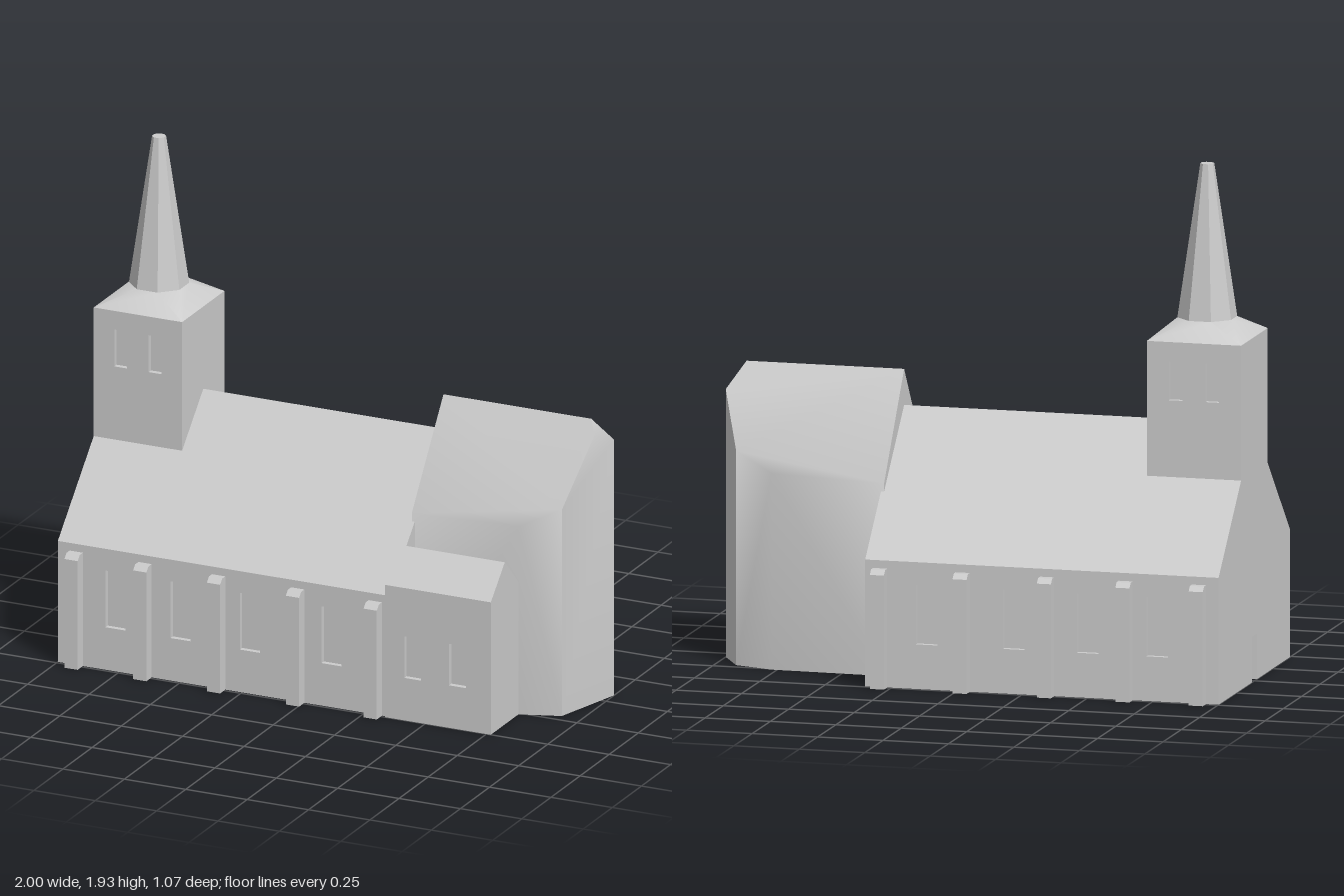
import * as THREE from 'three';
import { toCreasedNormals } from 'three/addons/utils/BufferGeometryUtils.js';
import { ConvexGeometry } from 'three/addons/geometries/ConvexGeometry.js';

const RECESS = 0.02; // depth of window and door niches

const stone = new THREE.MeshStandardMaterial({ color: 0xcccccc });
stone.name = 'stone';

// Rectangle as a list of corners
const rect = (x0, x1, y0, y1) => [[x0, y0], [x1, y0], [x1, y1], [x0, y1]];
const toVectors = (pts) => pts.map(([a, b]) => new THREE.Vector2(a, b));

// Outline in x/y with rectangular holes, extruded from z0 to z1
function extrudeZ(outline, z0, z1, holes = []) {
  const shape = new THREE.Shape(toVectors(outline));
  shape.holes = holes.map((h) => new THREE.Path(toVectors(h)));
  const geo = new THREE.ExtrudeGeometry(shape, { depth: z1 - z0, bevelEnabled: false });
  return geo.translate(0, 0, z0);
}

// Outline in z/y, extruded from x0 to x1
function extrudeX(outline, x0, x1, holes = []) {
  const flip = (pts) => pts.map(([z, y]) => [-z, y]);
  return extrudeZ(flip(outline), x0, x1, holes.map(flip)).rotateY(Math.PI / 2);
}

export function createModel() {
  const model = new THREE.Group();
  model.name = 'church';
  const add = (name, geometry) => {
    const mesh = new THREE.Mesh(geometry, stone);
    mesh.name = name;
    model.add(mesh);
    return mesh;
  };

  const W = 0.49, EAVE = 0.475, RIDGE = 0.965, EAST = 0.35;
  const T = 0.182, TOP = 1.288, TX0 = -1, TX1 = -0.64;
  const inner = W - RECESS;
  const westInner = -1 + RECESS;
  const roofAtTower = RIDGE - T;

  // Nave body and roof
  add('nave', extrudeX([
    [-inner, 0], [inner, 0], [inner, EAVE], [W, EAVE],
    [0, RIDGE], [-W, EAVE], [-inner, EAVE],
  ], westInner, EAST));

  // Nave side walls and tower side walls with window niches
  const naveWindows = [-0.765, -0.5, -0.218, 0.115].map((x) => rect(x - 0.041, x + 0.041, 0.167, 0.39));
  const towerOffsets = [-0.07, 0.07];
  const towerX = (TX0 + TX1) / 2;
  const belfryWindows = (c) => towerOffsets.map((o) => rect(c + o - 0.026, c + o + 0.026, 1.07, 1.215));
  for (const side of [1, -1]) {
    const name = side > 0 ? 'front' : 'back';
    const span = (face) => (side > 0 ? [face - RECESS, face] : [-face, -face + RECESS]);
    add(name + 'NaveWall', extrudeZ(rect(westInner, EAST, 0, EAVE), ...span(W), naveWindows));
    add(name + 'TowerWall', extrudeZ(rect(westInner, TX1, 0.7, TOP), ...span(T), belfryWindows(towerX)));
  }

  // West wall: gable and tower face in one, with a door niche
  add('westWall', extrudeX([
    [-W, 0], [-0.035, 0], [-0.035, 0.17], [0.035, 0.17], [0.035, 0], [W, 0],
    [W, EAVE], [T, roofAtTower], [T, TOP], [-T, TOP], [-T, roofAtTower], [-W, EAVE],
  ], -1, westInner, belfryWindows(0)));

  // Tower core behind the niches
  add('tower', extrudeZ(rect(westInner, TX1, 0.6, TOP), -T + RECESS, T - RECESS));

  // Spire skirt, square below and octagonal above
  const SPIRE_Y = 1.355, SPIRE_R = 0.111;
  const skirt = [];
  for (const x of [TX0, TX1]) for (const z of [-T, T]) skirt.push(new THREE.Vector3(x, TOP, z));
  for (let i = 0; i < 8; i++) {
    const a = Math.PI / 8 + (i * Math.PI) / 4;
    skirt.push(new THREE.Vector3(towerX + SPIRE_R * Math.sin(a), SPIRE_Y, SPIRE_R * Math.cos(a)));
  }
  add('spireSkirt', toCreasedNormals(new ConvexGeometry(skirt), 0.7));

  // Octagonal spire
  const spireHeight = 1.93 - SPIRE_Y;
  const spire = new THREE.CylinderGeometry(0.026, SPIRE_R, spireHeight, 8);
  spire.rotateY(Math.PI / 8).translate(towerX, SPIRE_Y + spireHeight / 2, 0);
  add('spire', toCreasedNormals(spire, 0.5));

  // Choir with angled apse: wall tops follow the roof slope
  const slope = (z) => 1.1 - 1.38 * Math.abs(z);
  const plan = [
    [0.338, -0.275], [0.77, -0.265], [0.92, -0.215], [1, -0.07],
    [0.92, 0.21], [0.77, 0.262], [0.338, 0.272],
  ];
  const choir = [[0.338, 0], [0.94, 0], [0.97, 0.035]].map(([x, z]) => new THREE.Vector3(x, slope(z), z));
  for (const [x, z] of plan) {
    choir.push(new THREE.Vector3(x, 0, z), new THREE.Vector3(x, slope(z), z));
  }
  add('choir', toCreasedNormals(new ConvexGeometry(choir), 0.7));

  // Side annex with its own small gable roof
  const AX0 = 0.338, AX1 = 0.768, AZ = 0.5;
  add('annex', extrudeX([
    [0.24, 0], [AZ - RECESS, 0], [AZ - RECESS, 0.52], [AZ, 0.52], [0.38, 0.637], [0.24, 0.497],
  ], AX0, AX1));
  const annexWindows = [0.45, 0.632].map((x) => rect(x - 0.034, x + 0.034, 0.167, 0.33));
  add('annexWall', extrudeZ(rect(AX0, AX1, 0, 0.52), AZ - RECESS, AZ, annexWindows));

  // Buttresses with sloping caps along both sides
  for (const side of [1, -1]) {
    const profile = [[0.48, 0], [0.535, 0], [0.535, 0.427], [0.517, 0.445], [0.48, 0.445]]
      .map(([z, y]) => [z * side, y]);
    for (const x of [-0.925, -0.645, -0.345, -0.023, 0.293]) {
      add('buttress', extrudeX(profile, x - 0.027, x + 0.027));
    }
  }

  return model;
}
